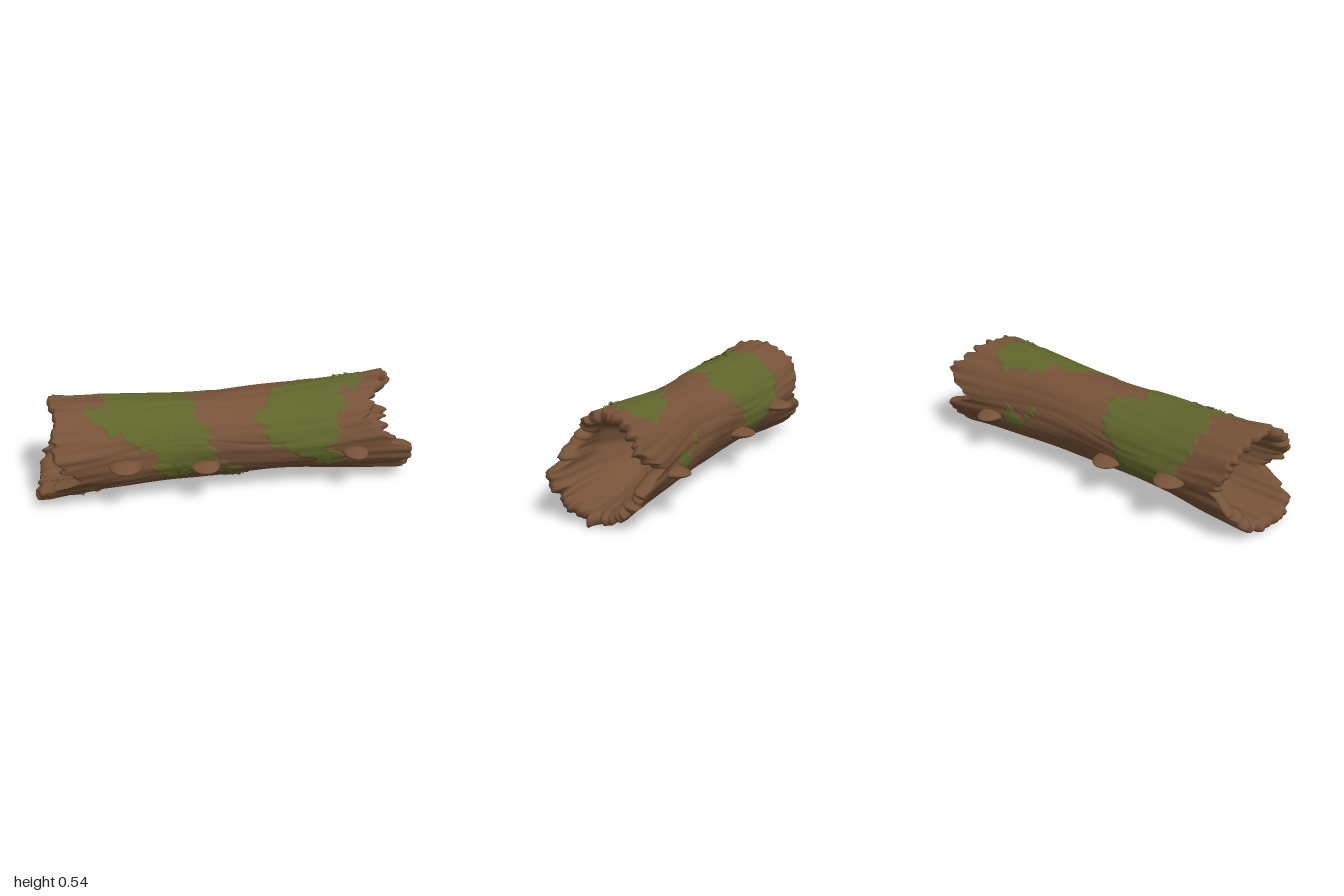
import * as THREE from 'three';

const RAD = Math.PI / 180;
const CY = 0.278; // height of the log axis
const SIDES = 160, RINGS = 200;

// Linear lookup in rows [key, a, b...]
function lookup(rows, key, col = 1) {
  for (let i = 1; i < rows.length; i++) {
    const p = rows[i - 1], q = rows[i];
    if (key <= q[0]) return p[col] + (q[col] - p[col]) * Math.max(0, (key - p[0]) / (q[0] - p[0]));
  }
  return rows[rows.length - 1][col];
}

// Angles in degrees: 0 front, 90 top, 180 back, 270 underside
const END_RIGHT = [[-90, 0.97], [-40, 0.95], [-15, 0.97], [-4, 0.88], [10, 0.8], [25, 0.72], [40, 0.74], [58, 0.78],
  [72, 0.82], [90, 0.84], [110, 0.87], [130, 0.91], [152, 0.97], [163, 0.93], [178, 0.79], [195, 0.96], [230, 0.96], [270, 0.97]];
const END_LEFT = [[-90, -0.96], [-68, -0.98], [-45, -0.97], [-34, -0.88], [-20, -0.77], [-5, -0.84], [10, -0.89], [30, -0.9],
  [60, -0.87], [90, -0.89], [120, -0.87], [150, -0.86], [180, -0.79], [200, -0.88], [230, -0.94], [270, -0.96]];
// Moss patches: rows of [angle, x from, x to]
const MOSS = [
  [[-40, -0.28, -0.2], [-30, -0.36, -0.1], [-18, -0.38, -0.1], [5, -0.4, -0.07], [30, -0.54, -0.12], [50, -0.68, -0.15],
    [62, -0.74, -0.15], [75, -0.64, -0.17], [90, -0.61, -0.2], [115, -0.64, -0.03], [140, -0.63, -0.07], [160, -0.6, -0.12],
    [185, -0.53, -0.2], [200, -0.4, -0.2], [212, -0.3, -0.22]],
  [[-42, 0, 0.06], [-30, -0.14, 0.1], [-22, -0.16, 0]],
  [[-78, 0.02, 0.07], [-62, -0.01, 0.1], [-50, 0.02, 0.08]],
  [[-38, 0.5, 0.55], [-20, 0.4, 0.6], [0, 0.28, 0.55], [20, 0.17, 0.57], [45, 0.15, 0.6], [70, 0.21, 0.63],
    [90, 0.28, 0.75], [112, 0.45, 0.78], [126, 0.6, 0.7]],
  [[-80, -0.78, -0.7], [-65, -0.85, -0.62], [-50, -0.8, -0.67]],
  [[170, 0.36, 0.42], [182, 0.36, 0.42]],
  [[178, 0.48, 0.56], [192, 0.46, 0.6], [206, 0.52, 0.6]],
];

function isMoss(x, deg) {
  const t = deg * RAD;
  const wx = x + 0.018 * Math.sin(9 * t + 5 * x) + 0.012 * Math.sin(23 * t + 31 * x);
  const wd = deg + 4 * Math.sin(37 * x) + 2.5 * Math.sin(83 * x + 1);
  return MOSS.some(m => wd >= m[0][0] && wd <= m[m.length - 1][0] && wx > lookup(m, wd, 1) && wx < lookup(m, wd, 2));
}

// Bark radius: waist in the middle, flared and ridged toward the ends
function barkRadius(x, t) {
  const flare = Math.pow(Math.min(1, Math.abs(x) / 0.92), 2.2);
  const ridge = Math.sin(11 * t + 1.5 * Math.sin(4 * x)) * 0.4 + Math.sin(19 * t + 2 * Math.sin(3 * x + 1)) * 0.4
    + Math.sin(31 * t + 3 * Math.sin(5 * x)) * 0.25;
  const lump = 0.004 * Math.sin(3 * t + 6 * x) + 0.003 * Math.sin(5 * t - 9 * x);
  const groove = -0.004 * Math.pow(Math.max(0, Math.sin(7 * t + Math.sin(6 * x))), 40);
  return 0.219 + 0.043 * flare + ridge * (0.0025 + 0.0075 * flare * flare) + lump + groove;
}

function surfacePoint(x, r, t) {
  return [THREE.MathUtils.clamp(x, -1, 1), Math.max(0, CY + r * Math.sin(t)), r * Math.cos(t) * 1.085];
}

// Rim and cavity: [depth inward from the rim, distance in from the bark]
const LIP = [[-0.006, 0.008], [-0.012, 0.022], [-0.01, 0.036], [0.006, 0.052], [0.04, 0.064]];
// Cavity walls: [x, radius]
const CAVITY = [[0.64, 0.183], [0.58, 0.172], [0.52, 0.145], [0.46, 0.105], [0.42, 0.075], [0.418, 0.069], [0.418, 0]];

function profile(deg) {
  const t = deg * RAD;
  const jag = 0.013 * Math.sin(17 * t + 2 * Math.sin(3 * t)) + 0.011 * Math.sin(29 * t + 1 + 2 * Math.sin(2 * t))
    + 0.008 * Math.sin(43 * t + 2);
  const right = lookup(END_RIGHT, deg) + jag, left = lookup(END_LEFT, deg) + 0.8 * jag * Math.cos(5 * t);
  const cap = (end) => {
    const s = Math.sign(end), R = barkRadius(end, t);
    const wob = 0.06 * Math.sin(4 * t + s) + 0.05 * Math.sin(9 * t + 2 * s + Math.sin(2 * t));
    const pts = LIP.map(([d, inset]) => [end - s * d, R - inset * (1 + wob)]);
    return pts.concat(CAVITY.map(([x, r]) => [s * x, r * (1 + 0.3 * wob)]));
  };
  const outer = [];
  for (let i = 0; i <= RINGS; i++) {
    const x = left + (right - left) * i / RINGS;
    outer.push([x, barkRadius(x, t) + (isMoss(x, deg) ? 0.004 : 0)]);
  }
  return [...cap(left).reverse(), ...outer, ...cap(right)];
}

// Hollow trunk as one closed skin, with moss faces in their own group
function makeTrunk(bark, moss) {
  const pos = [], barkFaces = [], mossFaces = [];
  const capCount = LIP.length + CAVITY.length;
  const n = 2 * capCount + RINGS + 1;
  for (let j = 0; j < SIDES; j++) {
    const deg = -90 + 360 * j / SIDES;
    profile(deg).forEach(([x, r]) => pos.push(...surfacePoint(x, r, deg * RAD)));
  }
  for (let j = 0; j < SIDES; j++) {
    const deg = -90 + 360 * (j + 0.5) / SIDES, k = (j + 1) % SIDES;
    for (let i = 0; i < n - 1; i++) {
      const a = j * n + i, b = a + 1, c = k * n + i, d = c + 1;
      const onBark = i >= capCount && i < capCount + RINGS;
      const x = (pos[a * 3] + pos[d * 3]) / 2;
      (onBark && isMoss(x, deg) ? mossFaces : barkFaces).push(a, b, c, b, d, c);
    }
  }
  const geo = new THREE.BufferGeometry();
  geo.setAttribute('position', new THREE.Float32BufferAttribute(pos, 3));
  geo.setIndex([...barkFaces, ...mossFaces]);
  geo.addGroup(0, barkFaces.length, 0);
  geo.addGroup(barkFaces.length, mossFaces.length, 1);
  geo.computeVertexNormals();
  const mesh = new THREE.Mesh(geo, [bark, moss]);
  mesh.name = 'hollowTrunk';
  return mesh;
}

// Ragged moss leaves: [x, angle, x spread, angle spread, count]
const TUFTS = [[-0.53, 62, 0.11, 30, 80], [-0.36, 35, 0.12, 16, 36], [-0.26, -20, 0.07, 14, 18],
  [0.05, -62, 0.04, 10, 18], [0.5, -20, 0.05, 12, 20], [0.67, 88, 0.06, 20, 30], [-0.74, -66, 0.07, 10, 26]];

function makeTufts(material) {
  let seed = 7;
  const rnd = () => (seed = (seed * 16807) % 2147483647) / 2147483647;
  const pos = [], normals = [];
  for (const [cx, cd, sx, sd, count] of TUFTS) {
    for (let i = 0; i < count; i++) {
      const a = rnd() * 2 * Math.PI, q = Math.sqrt(rnd());
      const x = cx + Math.cos(a) * q * sx, t = (cd + Math.sin(a) * q * sd) * RAD;
      const r = barkRadius(x, t) + 0.005, dir = rnd() * 2 * Math.PI;
      const len = 0.024 + 0.018 * rnd(), w = 0.013 + 0.006 * rnd();
      // Width runs counter-clockwise so each leaf faces outward
      const corner = (u, v, lift) => {
        pos.push(...surfacePoint(x + Math.cos(dir) * u - Math.sin(dir) * v, r + lift,
          t + (Math.sin(dir) * u + Math.cos(dir) * v) / r));
        normals.push(0, Math.sin(t), Math.cos(t));
      };
      corner(0, -w, 0);
      corner(len, 0, 0.003 + 0.009 * rnd());
      corner(0, w, 0);
    }
  }
  const geo = new THREE.BufferGeometry();
  geo.setAttribute('position', new THREE.Float32BufferAttribute(pos, 3));
  geo.setAttribute('normal', new THREE.Float32BufferAttribute(normals, 3));
  const mesh = new THREE.Mesh(geo, material);
  mesh.name = 'mossTufts';
  return mesh;
}

// Shelf fungus: flattened dome, thick at the root, cut off inside the bark
function makeShelf(material) {
  const geo = new THREE.SphereGeometry(1, 28, 20);
  const p = geo.attributes.position;
  for (let i = 0; i < p.count; i++) {
    const y = p.getY(i), z = p.getZ(i);
    const thick = 1.1 - 0.4 * Math.max(0, z);
    p.setXYZ(i, p.getX(i), y * thick * (y > 0 ? 0.024 : 0.028), Math.max(z, -0.3));
  }
  geo.computeVertexNormals();
  return new THREE.Mesh(geo, material);
}

export function createModel() {
  const bark = new THREE.MeshStandardMaterial({ color: 0x765238 });
  const moss = new THREE.MeshStandardMaterial({ color: 0x60652b, side: THREE.DoubleSide });
  bark.name = 'barkBrown';
  moss.name = 'mossGreen';
  const group = new THREE.Group();
  group.name = 'hollowLog';
  group.add(makeTrunk(bark, moss), makeTufts(moss));
  // Three shelves on each side: [x, y, reach in z, half width]
  for (const [x, y, reach, w] of [[-0.545, 0.26, 0.353, 0.083], [-0.13, 0.207, 0.32, 0.076], [0.662, 0.222, 0.345, 0.068]]) {
    for (const side of [1, -1]) {
      const shelf = makeShelf(bark);
      shelf.name = side > 0 ? 'frontShelfFungus' : 'backShelfFungus';
      shelf.scale.set(w, 1, 0.095);
      shelf.position.set(x, y, side * (reach - 0.095));
      shelf.rotation.y = side > 0 ? 0 : Math.PI;
      group.add(shelf);
    }
  }
  return group;
}
